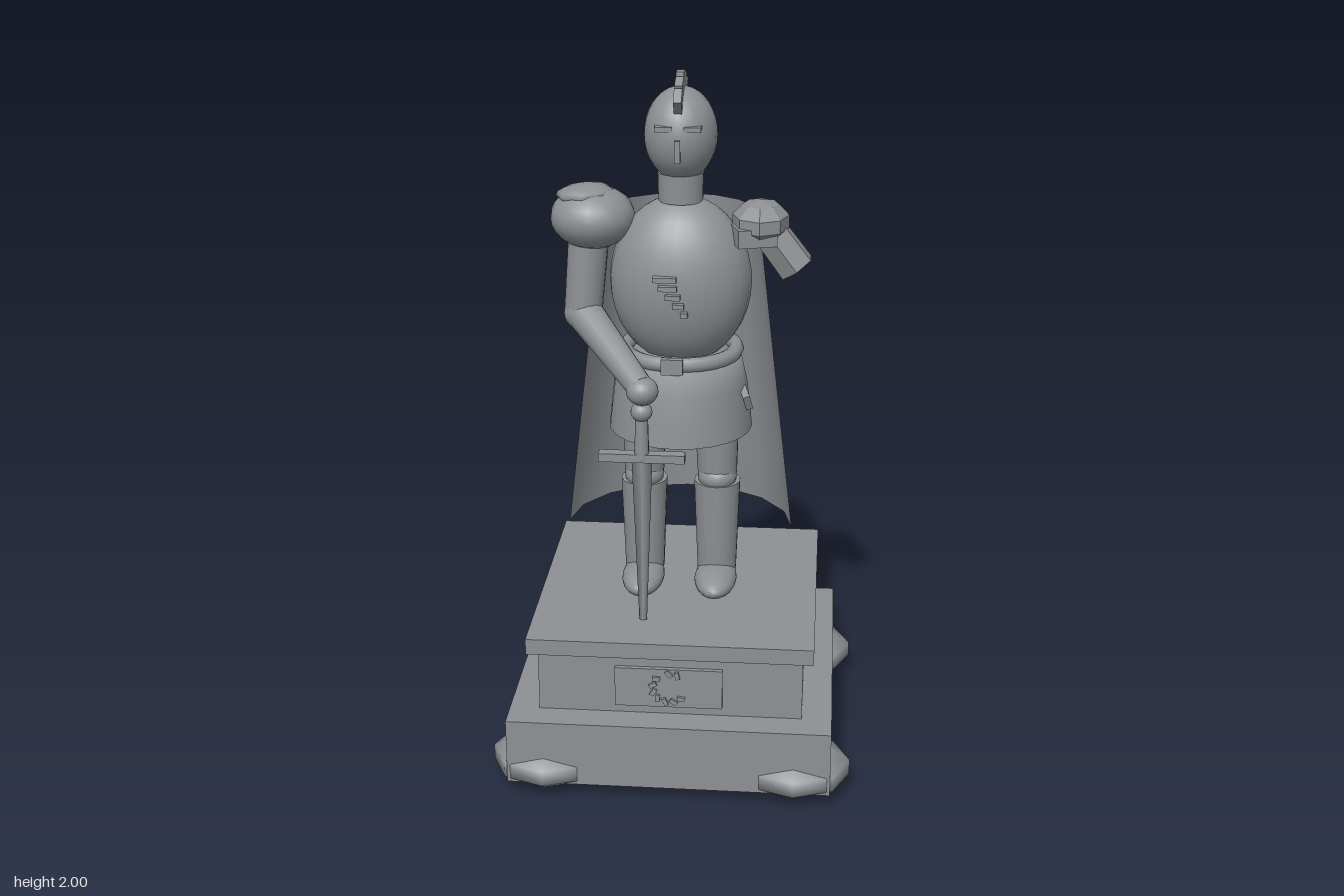
import * as THREE from 'three';

export function createModel() {
  const root = new THREE.Group();
  const stone = new THREE.MeshStandardMaterial({ color: 0x8e9094 });
  stone.name = 'stone grey';
  const chipped = stone.clone();
  chipped.flatShading = true;
  const cloth = stone.clone();
  cloth.side = THREE.DoubleSide;

  const add = (name, geo, x, y, z, mat = stone) => {
    const m = new THREE.Mesh(geo, mat);
    m.name = name;
    m.position.set(x, y, z);
    root.add(m);
    return m;
  };
  const box = (name, w, h, d, x, y, z) => add(name, new THREE.BoxGeometry(w, h, d), x, y, z);
  const ball = (name, rx, ry, rz, x, y, z, ws = 20, hs = 14, mat = stone) => {
    const m = add(name, new THREE.SphereGeometry(1, ws, hs), x, y, z, mat);
    m.scale.set(rx, ry, rz);
    return m;
  };
  // Tapered cylinder between two points
  const limb = (name, a, b, ra, rb, sides = 14, mat = stone) => {
    const p = new THREE.Vector3(...a), q = new THREE.Vector3(...b);
    const dir = q.clone().sub(p);
    const mid = p.clone().add(q).multiplyScalar(0.5);
    const m = add(name, new THREE.CylinderGeometry(rb, ra, dir.length(), sides), mid.x, mid.y, mid.z, mat);
    m.quaternion.setFromUnitVectors(new THREE.Vector3(0, 1, 0), dir.normalize());
    return m;
  };

  // Stepped plinth
  box('plinthBase', 0.92, 0.195, 0.92, 0, 0.138, 0);
  box('plinthBlock', 0.75, 0.19, 0.75, 0, 0.328, 0);
  box('plinthSlab', 0.81, 0.047, 0.81, 0, 0.4465, 0);
  for (const x of [-1, 1]) for (const z of [-1, 1]) {
    ball('plinthFoot', 0.168, 0.0735, 0.147, x * 0.355, 0.0735, z * 0.355, 8, 5);
  }

  // Plaque with a broken wreath
  box('plaque', 0.305, 0.12, 0.015, -0.003, 0.323, 0.3805);
  for (let i = 0; i < 9; i++) {
    const a = 1.1 + i * 0.5 + (i > 1 ? 0.35 : 0);
    const leaf = box('wreathLeaf', 0.022, 0.012, 0.01, Math.cos(a) * 0.048, 0.326 + Math.sin(a) * 0.045, 0.391);
    leaf.rotation.z = a + 0.7;
  }

  // Icicles under the rear edge
  [-0.33, -0.265, -0.18, -0.09, -0.01, 0.07, 0.16, 0.25, 0.335].forEach((x, i) => {
    const h = 0.07 + ((i * 5) % 4) * 0.011;
    add('icicle', new THREE.ConeGeometry(0.011, h, 5), x, 0.425 - h / 2, -0.402).rotation.x = Math.PI;
  });

  // Legs
  for (const s of [-1, 1]) {
    const x = s * 0.107;
    ball('boot', 0.062, 0.041, 0.122, x, 0.511, 0.047);
    limb('greave', [x, 0.52, -0.008], [x, 0.805, -0.005], 0.058, 0.068);
    ball('knee', 0.057, 0.045, 0.06, x, 0.82, 0.002);
    limb('thigh', [x, 0.83, -0.005], [x * 0.97, 1.06, 0], 0.058, 0.067);
  }

  // Skirt, belt and torso
  const skirt = [[0.206, 0.978], [0.2, 1.04], [0.19, 1.12], [0.172, 1.2], [0.05, 1.21]]
    .map(p => new THREE.Vector2(...p));
  add('armourSkirt', new THREE.LatheGeometry(skirt, 24), 0, 0, 0, cloth);
  const belt = add('belt', new THREE.TorusGeometry(0.158, 0.022, 8, 28), 0, 1.21, 0);
  belt.rotation.x = Math.PI / 2;
  box('buckle', 0.06, 0.045, 0.02, -0.01, 1.213, 0.178);
  const shard = box('skirtChip', 0.02, 0.05, 0.05, 0.19, 1.085, 0.06);
  shard.rotation.set(0.4, 0.3, 0.2);
  ball('torso', 0.2, 0.243, 0.152, 0, 1.412, 0, 24, 18);

  // Stepped ornament on the chest
  [[-0.032, 0.065], [-0.024, 0.052], [-0.01, 0.042], [0.005, 0.032], [0.021, 0.02]].forEach(([x, w], i) => {
    box('chestBar', w, 0.014, 0.026, x, 1.455 - i * 0.025, 0.152);
  });

  // Neck and helmet
  limb('neck', [0, 1.64, 0], [0, 1.72, 0], 0.062, 0.064, 18);
  ball('helmet', 0.101, 0.13, 0.114, 0, 1.826, 0, 24, 18);
  for (const s of [-1, 1]) box('eyeSlot', 0.048, 0.014, 0.03, s * 0.039, 1.858, 0.097);
  box('noseGuard', 0.015, 0.06, 0.03, 0, 1.8, 0.11);
  [[0.09, 1.93, 0.7], [0.05, 1.955, 0.35], [0.005, 1.972, -0.05], [-0.04, 1.962, -0.35],
    [-0.085, 1.94, -0.2], [-0.13, 1.85, -1.1]].forEach(([z, y, tilt]) => {
    box('crestPlume', 0.022, 0.05, 0.048, 0, y, z).rotation.x = tilt;
  });

  // Complete right arm
  ball('rightPauldron', 0.119, 0.088, 0.119, -0.246, 1.588, 0);
  ball('pauldronCap', 0.082, 0.027, 0.08, -0.267, 1.654, 0, 8, 8).rotation.z = 0.08;
  limb('rightUpperArm', [-0.255, 1.57, 0], [-0.276, 1.315, 0.01], 0.058, 0.054);
  ball('rightElbow', 0.056, 0.056, 0.056, -0.276, 1.312, 0.01);
  limb('rightForearm', [-0.276, 1.312, 0.01], [-0.09, 1.175, 0.25], 0.054, 0.037);
  ball('rightHand', 0.045, 0.04, 0.045, -0.085, 1.168, 0.255);

  // Broken left arm
  ball('leftPauldron', 0.083, 0.06, 0.105, 0.222, 1.586, 0, 8, 5, chipped);
  limb('brokenArm', [0.235, 1.575, 0.005], [0.325, 1.455, 0.005], 0.052, 0.055, 6, chipped);
  box('pauldronShard', 0.11, 0.05, 0.09, 0.205, 1.555, 0.04).rotation.y = 0.3;

  // Sword resting on its point
  const sx = -0.087, sz = 0.256;
  ball('pommel', 0.03, 0.028, 0.03, sx, 1.108, sz);
  limb('swordGrip', [sx, 0.97, sz], [sx, 1.1, sz], 0.021, 0.018, 10);
  box('crossguard', 0.24, 0.024, 0.034, sx, 0.974, sz);
  const blade = add('blade', new THREE.CylinderGeometry(0.029, 0.011, 0.5, 4), sx, 0.72, sz);
  blade.scale.z = 0.38;

  // Cape: a flared half shell open to the front
  const cols = 8, rows = 4, pos = [], idx = [];
  for (let r = 0; r <= rows; r++) {
    const t = r / rows;
    const rx = 0.217 + 0.11 * t, rz = 0.215 + 0.08 * t;
    for (let c = 0; c <= cols; c++) {
      const a = Math.PI * c / cols;
      pos.push(-Math.cos(a) * rx, 1.613 - 0.943 * t, 0.025 - Math.sin(a) * rz);
      if (r < rows && c < cols) {
        const i = r * (cols + 1) + c, j = i + cols + 1;
        idx.push(i, i + 1, j, i + 1, j + 1, j);
      }
    }
  }
  const cape = new THREE.BufferGeometry();
  cape.setAttribute('position', new THREE.Float32BufferAttribute(pos, 3));
  cape.setIndex(idx);
  cape.computeVertexNormals();
  add('cape', cape, 0, 0, 0, cloth);

  return root;
}
